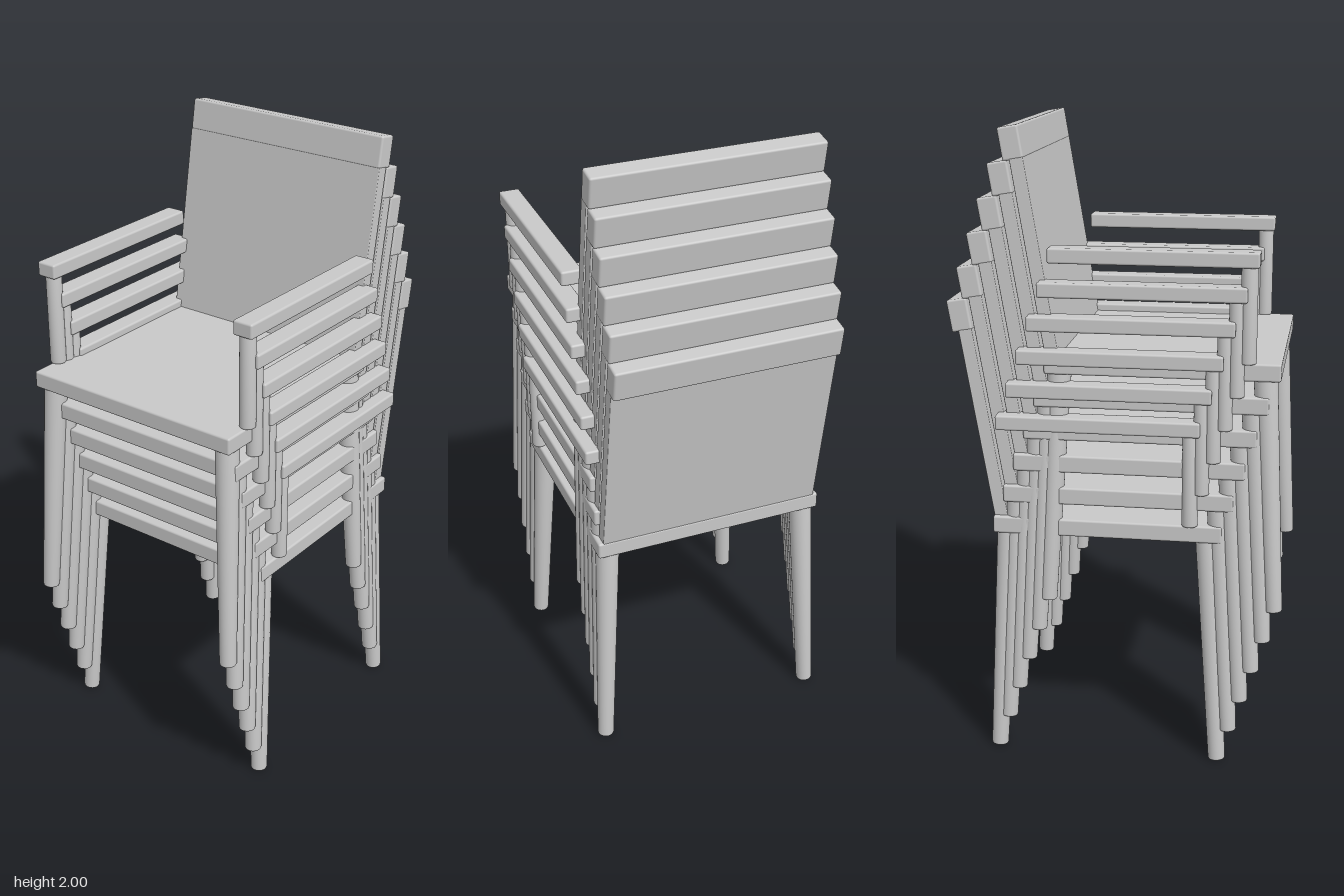
import * as THREE from 'three';
import { RoundedBoxGeometry } from 'three/addons/geometries/RoundedBoxGeometry.js';

const CHAIRS = 6, STEP_Y = 0.104, STEP_Z = 0.034;

export function createModel() {
  const grey = new THREE.MeshStandardMaterial({ color: 0xc8c8c8 });
  grey.name = 'light grey';

  const add = (parent, name, geometry) => {
    const mesh = new THREE.Mesh(geometry, grey);
    mesh.name = name;
    parent.add(mesh);
    return mesh;
  };

  // Softly rounded board spanning two corners
  const board = (parent, name, min, max, radius = 0.007) => {
    const size = max.map((v, i) => v - min[i]);
    const mesh = add(parent, name, new RoundedBoxGeometry(...size, 2, radius));
    mesh.position.set(...max.map((v, i) => (v + min[i]) / 2));
    return mesh;
  };

  // Round tapered rod with a softened foot, from bottom to top point
  const rod = (parent, name, from, to, r0, r1) => {
    const a = new THREE.Vector3(...from), b = new THREE.Vector3(...to);
    const dir = b.clone().sub(a), len = dir.length();
    const profile = [[0, 0], [r0 - 0.005, 0], [r0 - 0.0015, 0.0015], [r0, 0.006], [r1, len], [0, len]];
    const mesh = add(parent, name,
      new THREE.LatheGeometry(profile.map(p => new THREE.Vector2(...p)), 24));
    mesh.position.copy(a);
    mesh.quaternion.setFromUnitVectors(new THREE.Vector3(0, 1, 0), dir.normalize());
  };

  const makeChair = () => {
    const chair = new THREE.Group();
    board(chair, 'seat', [-0.378, 0.735, -0.39], [0.378, 0.79, 0.331]);

    // Reclined back: thin panel with a thicker top rail
    const back = new THREE.Group();
    back.name = 'backrest';
    back.position.set(0, 0.785, -0.345);
    back.rotation.x = -0.165;
    board(back, 'backPanel', [-0.362, 0, -0.042], [0.362, 0.61, 0], 0.003);
    board(back, 'topRail', [-0.362, 0.605, -0.063], [0.362, 0.705, 0.001]);
    chair.add(back);

    for (const [side, s] of [['left', 1], ['right', -1]]) {
      // Splayed legs
      rod(chair, side + 'FrontLeg', [s * 0.371, 0.002, 0.326], [s * 0.336, 0.738, 0.283], 0.027, 0.037);
      rod(chair, side + 'BackLeg', [s * 0.371, 0.002, -0.386], [s * 0.336, 0.738, -0.348], 0.027, 0.037);
      // Armrest on its post
      rod(chair, side + 'ArmPost', [s * 0.37, 0.788, 0.231], [s * 0.37, 1.085, 0.231], 0.025, 0.025);
      const arm = board(chair, side + 'Armrest', [0.338, 1.079, -0.37], [0.405, 1.126, 0.262]);
      arm.position.x *= s;
    }
    return chair;
  };

  // Stack of identical chairs, each shifted up and forward
  const model = new THREE.Group();
  model.name = 'chairStack';
  const first = makeChair();
  for (let i = 0; i < CHAIRS; i++) {
    const chair = i ? first.clone() : first;
    chair.name = 'chair' + (i + 1);
    chair.position.set(0, i * STEP_Y, i * STEP_Z);
    model.add(chair);
  }
  return model;
}
